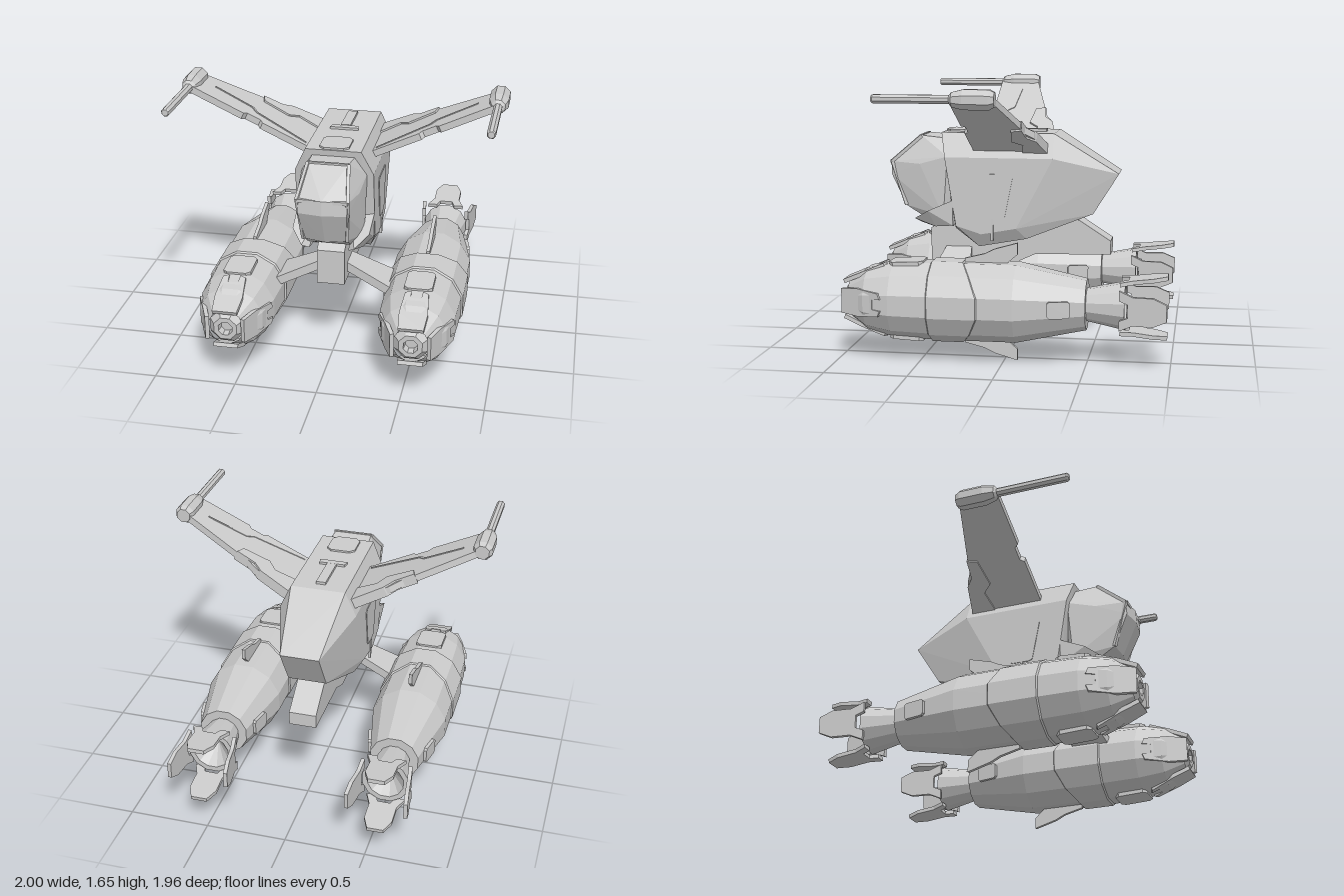
import * as THREE from 'three';
import { ConvexGeometry } from 'three/addons/geometries/ConvexGeometry.js';

const material = new THREE.MeshStandardMaterial({ color: 0xcccccc, flatShading: true });

// Turned part along z; profile points are [radius, z] with z rising
function turned(profile, sides) {
  const pts = profile.map(([r, z]) => new THREE.Vector2(r, z));
  return new THREE.LatheGeometry(pts, sides, Math.PI / sides).rotateX(Math.PI / 2);
}
const toShape = pts => new THREE.Shape(pts.map(p => new THREE.Vector2(...p)));
const extrude = (pts, depth) => new THREE.ExtrudeGeometry(toShape(pts), { depth, bevelEnabled: false });

// Flat plate from an [x, z] outline, top surface at y = 0
const plate = (pts, t) => extrude(pts, t).rotateX(Math.PI / 2);
// Slab from a [z, y] outline, centred on x = 0
const slab = (pts, w) => extrude(pts, w).rotateY(-Math.PI / 2).translate(w / 2, 0, 0);
// Solid around points [x, y, z], optionally with their mirror images
function solid(pts, symmetric = false) {
  const all = symmetric ? pts.concat(pts.map(([x, y, z]) => [-x, y, z])) : pts;
  const unique = [...new Map(all.map(p => [p.map(v => v + 0).join(), p])).values()];
  return new ConvexGeometry(unique.map(p => new THREE.Vector3(...p)));
}
// Square bar between two points
function bar(a, b, w) {
  const from = new THREE.Vector3(...a), dir = new THREE.Vector3(...b).sub(from);
  const g = new THREE.BoxGeometry(w, dir.length(), w);
  const q = new THREE.Quaternion().setFromUnitVectors(new THREE.Vector3(0, 1, 0), dir.clone().normalize());
  return g.applyQuaternion(q).translate(...from.addScaledVector(dir, 0.5).toArray());
}
// Rectangle outline with cut corners
const chamfered = (w, d, c) => [[-w, -d + c], [-w + c, -d], [w - c, -d], [w, -d + c], [w, d - c], [w - c, d], [-w + c, d], [-w, d - c]];

function mirrored(geo) {
  const g = geo.index ? geo.toNonIndexed() : geo.clone();
  g.scale(-1, 1, 1);
  const p = g.attributes.position;
  for (let i = 0; i < p.count; i += 3) {
    const a = [p.getX(i), p.getY(i), p.getZ(i)];
    p.setXYZ(i, p.getX(i + 1), p.getY(i + 1), p.getZ(i + 1));
    p.setXYZ(i + 1, ...a);
  }
  g.computeVertexNormals();
  return g;
}

export function createModel() {
  const model = new THREE.Group();
  model.name = 'gunship';
  const add = (name, geo, parent = model) => {
    const mesh = new THREE.Mesh(geo, material);
    mesh.name = name;
    parent.add(mesh);
  };
  const pair = (name, geo) => {
    add(name + 'Left', geo);
    add(name + 'Right', mirrored(geo));
  };

  // Hull
  add('hull', solid([
    [0.17, 1.35, 0.46], [0.24, 1.2, 0.43], [0.24, 0.77, 0.36], [0.19, 0.75, 0.37],
    [0.24, 0.72, 0.2], [0.19, 0.635, 0.22],
    [0.17, 1.35, -0.25], [0.24, 1.2, -0.25], [0.24, 0.76, -0.02], [0.19, 0.69, -0.08],
    [0.12, 1.1, -0.65], [0.12, 0.845, -0.49]], true));
  add('topHatch', plate(chamfered(0.09, 0.095, 0.03), 0.03).translate(0, 1.362, 0.355));
  add('topRail', new THREE.BoxGeometry(0.06, 0.03, 0.25).translate(0, 1.352, -0.06));
  add('topRailFoot', plate([[-0.09, 0.11], [0.09, 0.11], [0.08, 0.07], [-0.08, 0.07]], 0.03).translate(0, 1.365, 0));
  pair('sideHatch', slab([[0.25, 1.08], [0.23, 1.1], [0.02, 1.1], [0, 1.08], [0.05, 0.83], [0.07, 0.82], [0.18, 0.82], [0.2, 0.83]], 0.012).translate(0.239, 0, 0));
  pair('sideRib', bar([0.238, 0.68, 0.13], [0.24, 0.82, 0.13], 0.016));

  // Cockpit with window frame
  add('cockpit', solid([
    [0.13, 1.31, 0.44], [0.12, 1.325, 0.6], [0.2, 1.2, 0.42], [0.185, 1.15, 0.6],
    [0.15, 1.16, 0.785], [0.001, 1.17, 0.805], [0.145, 1.08, 0.79], [0.001, 1.08, 0.81],
    [0.13, 0.88, 0.70], [0.001, 0.87, 0.715], [0.13, 0.785, 0.55], [0.19, 0.82, 0.45], [0.13, 0.75, 0.4]], true));
  add('browFrame', bar([-0.15, 1.16, 0.787], [0.15, 1.16, 0.787], 0.02));
  add('roofFrame', bar([-0.12, 1.322, 0.6], [0.12, 1.322, 0.6], 0.016));
  pair('roofSideFrame', bar([0.12, 1.322, 0.6], [0.15, 1.16, 0.787], 0.02));
  pair('noseSideFrame', bar([0.148, 1.16, 0.785], [0.13, 0.88, 0.7], 0.02));
  pair('cheekGuard', solid([
    [0.24, 0.93, 0.38], [0.235, 0.86, 0.54], [0.16, 0.8, 0.64], [0.235, 0.77, 0.38],
    [0.19, 0.755, 0.5], [0.12, 0.77, 0.6], [0.1, 0.76, 0.38], [0.1, 0.92, 0.38]]));

  // Keel and struts to the engines
  add('keel', slab([[0.55, 0.51], [0.55, 0.73], [0.4, 0.82], [-0.4, 0.8], [-0.6, 0.67], [-0.6, 0.585], [-0.12, 0.575], [0.02, 0.51]], 0.17));
  pair('engineStrut', solid([
    [0.07, 0.62, 0.29], [0.07, 0.62, 0.45], [0.07, 0.56, 0.29], [0.07, 0.56, 0.45],
    [0.26, 0.535, 0.28], [0.26, 0.535, 0.47], [0.26, 0.485, 0.28], [0.26, 0.485, 0.47],
    [0.38, 0.48, 0.25], [0.38, 0.48, 0.5], [0.38, 0.42, 0.25], [0.38, 0.42, 0.5]]));

  // Raised, swept wings
  const tilt = 0.44;
  const onWing = (geo, lift = 0) => geo.translate(0, lift, 0).rotateZ(tilt).translate(0.2, 1.28, 0);
  pair('wing', onWing(plate([
    [-0.08, 0.25], [0.31, 0.25], [0.33, 0.225], [0.42, 0.225], [0.44, 0.25], [0.8, 0.25],
    [0.8, 0.0], [0.4, -0.1], [0.36, -0.09], [0.24, -0.16], [0.0, -0.21], [-0.08, -0.21]], 0.042)));
  pair('wingRootCover', onWing(plate([
    [-0.06, -0.215], [0.0, -0.215], [0.21, -0.17], [0.27, -0.12], [0.4, -0.105], [0.38, -0.04], [0.2, -0.02], [0.14, -0.08], [-0.06, -0.05]], 0.064), 0.011));
  pair('wingPanel', onWing(plate([
    [0.02, 0.22], [0.38, 0.16], [0.42, 0.12], [0.68, 0.1], [0.68, 0.09], [0.41, 0.11], [0.37, 0.15], [0.02, 0.21]], 0.02), 0.005));

  // Wingtip guns
  pair('wingtipGun', turned([
    [0, -0.01], [0.045, -0.01], [0.062, 0.02], [0.062, 0.17], [0.045, 0.235], [0.027, 0.25],
    [0.027, 0.69], [0.02, 0.7], [0, 0.7]], 8).translate(0.942, 1.607, 0));

  // Engine pods
  const engine = (name, geo) => pair(name, geo.translate(0.555, 0.37, 0));
  engine('engineBody', turned([
    [0, -0.6], [0.115, -0.73], [0.147, -0.73], [0.1, -0.5], [0.155, -0.5], [0.245, -0.08],
    [0.245, 0.4], [0.235, 0.67], [0.2, 0.83], [0.11, 0.95]], 12));
  engine('noseRing', turned([[0.11, 0.93], [0.075, 0.97], [0.045, 0.97], [0.04, 0.92], [0, 0.92]], 8));

  // Armour band whose rear edge reaches further back at the sides
  const band = turned([[0.24, 0.2], [0.254, 0.21], [0.254, 0.43], [0.24, 0.44]], 12);
  const p = band.attributes.position;
  for (let i = 0; i < p.count; i++) {
    const x = p.getX(i), y = p.getY(i);
    if (p.getZ(i) < 0.3) p.setZ(i, p.getZ(i) + 0.04 - 0.12 * x * x / (x * x + y * y));
  }
  engine('engineBand', band);

  // Four nose guards and four exhaust petals per engine
  const guard = [[-0.075, 0], [0.075, 0], [0.085, -0.12], [0.07, -0.27], [0.035, -0.285], [0.03, -0.23],
    [-0.03, -0.23], [-0.035, -0.285], [-0.07, -0.27], [-0.085, -0.12]];
  const petal = [[-0.12, 0], [-0.085, -0.08], [-0.085, -0.2], [-0.05, -0.28], [0.05, -0.28], [0.085, -0.2],
    [0.085, -0.08], [0.12, 0], [0.06, 0], [0.04, -0.05], [-0.04, -0.05], [-0.06, 0]];
  for (let k = 0; k < 4; k++) {
    const turn = k * Math.PI / 2;
    engine('noseGuard' + k, plate(guard, 0.025).rotateX(0.4).translate(0, 0.12, 0.98).rotateZ(turn));
    engine('exhaustPetal' + k, plate(petal, 0.024).rotateX(0.12).translate(0, 0.158, -0.7).rotateZ(turn));
  }

  // Side vents, top and bottom covers, stabiliser fins
  for (const s of [-1, 1]) {
    const tag = s > 0 ? 'A' : 'B';
    engine('sideVent' + tag, plate(chamfered(0.05, 0.068, 0.012), 0.03)
      .rotateX(-0.21).translate(0, 0.2, -0.35).rotateZ(s * Math.PI / 2));
    engine('cover' + tag, plate(chamfered(0.085, 0.105, 0.025), 0.03)
      .rotateX(0.05).translate(0, 0.24, 0.59).rotateZ(s > 0 ? 0 : Math.PI));
    engine('fin' + tag, slab([
      [0.24, 0.22], [0.24, 0.26], [0.12, 0.29], [0.06, 0.32], [-0.08, 0.36], [-0.08, 0.29], [0, 0.22]], 0.022)
      .rotateZ(s > 0 ? 0 : Math.PI));
  }
  return model;
}
